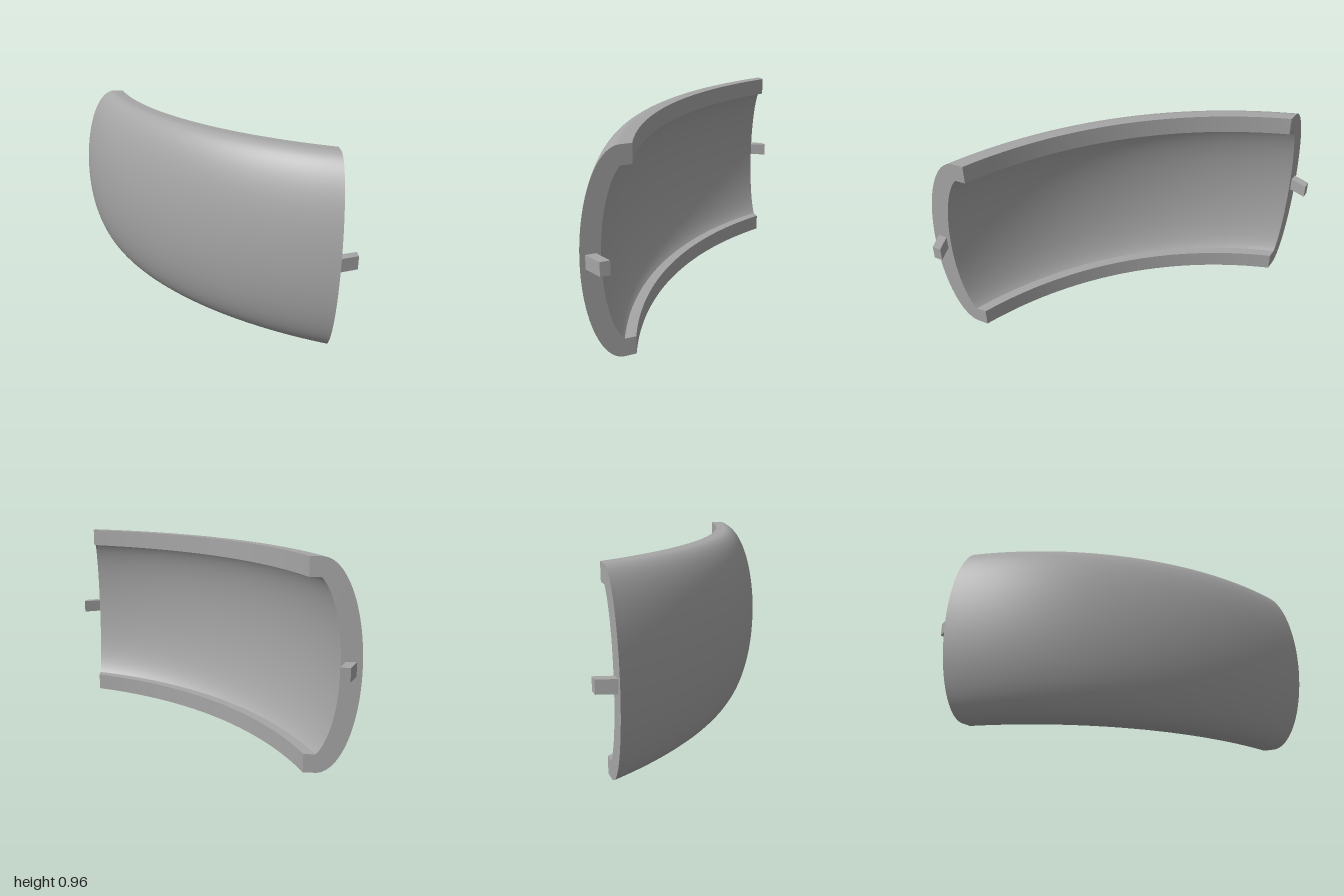
import * as THREE from 'three';

const CENTER_Z = -1.865;   // axis of the big bend
const MID_Y = 0.4825;
const K = 1.16;            // slope of the slanted end cut: x = 0.985 + K * (z + 0.05)
const CUT = 0.985 + K * (0.05 + CENTER_Z);
const R_BACK = 1.844, R_LEG = 1.893;

// Angle at which an arc of radius r meets the end cut
const endAngle = r => Math.atan(K) + Math.asin(CUT / (r * Math.hypot(1, K)));

// Section point [radius, y] carried along the bend, t from -1 to 1
function place([r, y], t) {
  const a = endAngle(r) * t;
  return [r * Math.sin(a), y, CENTER_Z + r * Math.cos(a)];
}

// Smooth surface from a grid of points; columns x rows gives the outward side
function gridGeometry(rows) {
  const n = rows[0].length, index = [];
  for (let i = 0; i < rows.length - 1; i++) {
    for (let j = 0; j < n - 1; j++) {
      const a = i * n + j, b = a + 1, c = a + n, d = c + 1;
      index.push(a, b, c, b, d, c);
    }
  }
  const g = new THREE.BufferGeometry();
  g.setAttribute('position', new THREE.Float32BufferAttribute(rows.flat(2), 3));
  g.setIndex(index);
  g.computeVertexNormals();
  return g;
}

// Elliptical arc between the two straight legs of the C section
function arc(centerR, depth, halfHeight, maxAngle, steps = 48) {
  return Array.from({ length: steps + 1 }, (_, i) => {
    const a = maxAngle * (2 * i / steps - 1);
    return [centerR + depth * Math.cos(a), MID_Y + halfHeight * Math.sin(a)];
  });
}

export function createModel() {
  const group = new THREE.Group();
  const grey = new THREE.MeshStandardMaterial({ color: 0xa6a6a6 });
  grey.name = 'grey';

  const add = (name, geometry, parent) => {
    const mesh = new THREE.Mesh(geometry, grey);
    mesh.name = name;
    parent.add(mesh);
  };

  // C-shaped section, bottom to top
  const outerArc = arc(R_LEG, 0.172, MID_Y, Math.PI / 2);
  const innerEnd = Math.asin(0.395 / 0.42);
  const innerCenter = R_LEG - 0.13 * Math.cos(innerEnd);
  const innerArc = arc(innerCenter, 0.13, 0.42, innerEnd);
  const close = pts => [[R_BACK, pts[0][1]], ...pts, [R_BACK, pts.at(-1)[1]]];
  const outer = close(outerArc), inner = close(innerArc);

  // Curved shell
  const shell = new THREE.Group();
  shell.name = 'shell';
  group.add(shell);
  const steps = 48;
  const sweep = pts => gridGeometry(pts.map(p =>
    Array.from({ length: steps + 1 }, (_, j) => place(p, 2 * j / steps - 1))));
  add('outerSurface', sweep(outer), shell);
  add('topRim', sweep([outer.at(-1), inner.at(-1)]), shell);
  add('topInnerLip', sweep([inner.at(-1), inner.at(-2)]), shell);
  add('innerSurface', sweep([...innerArc].reverse()), shell);
  add('bottomInnerLip', sweep([inner[1], inner[0]]), shell);
  add('bottomRim', sweep([inner[0], outer[0]]), shell);

  // Flat slanted ends
  add('leftEnd', gridGeometry(outer.map((p, i) => [place(p, 1), place(inner[i], 1)])), shell);
  add('rightEnd', gridGeometry(outer.map((p, i) => [place(inner[i], -1), place(p, -1)])), shell);

  // Small slanted pegs on both ends, outlined in [x, -z]
  const outline = [[0.966, 0.065], [1.0, 0.155], [0.967, 0.185], [0.931, 0.097]];
  for (const [name, side] of [['leftPeg', 1], ['rightPeg', -1]]) {
    const shape = new THREE.Shape(outline.map(([x, y]) => new THREE.Vector2(side * x, y)));
    const peg = new THREE.ExtrudeGeometry(shape, { depth: 0.065, bevelEnabled: false });
    peg.rotateX(-Math.PI / 2);
    peg.translate(0, 0.452, 0);
    add(name, peg, group);
  }
  return group;
}
